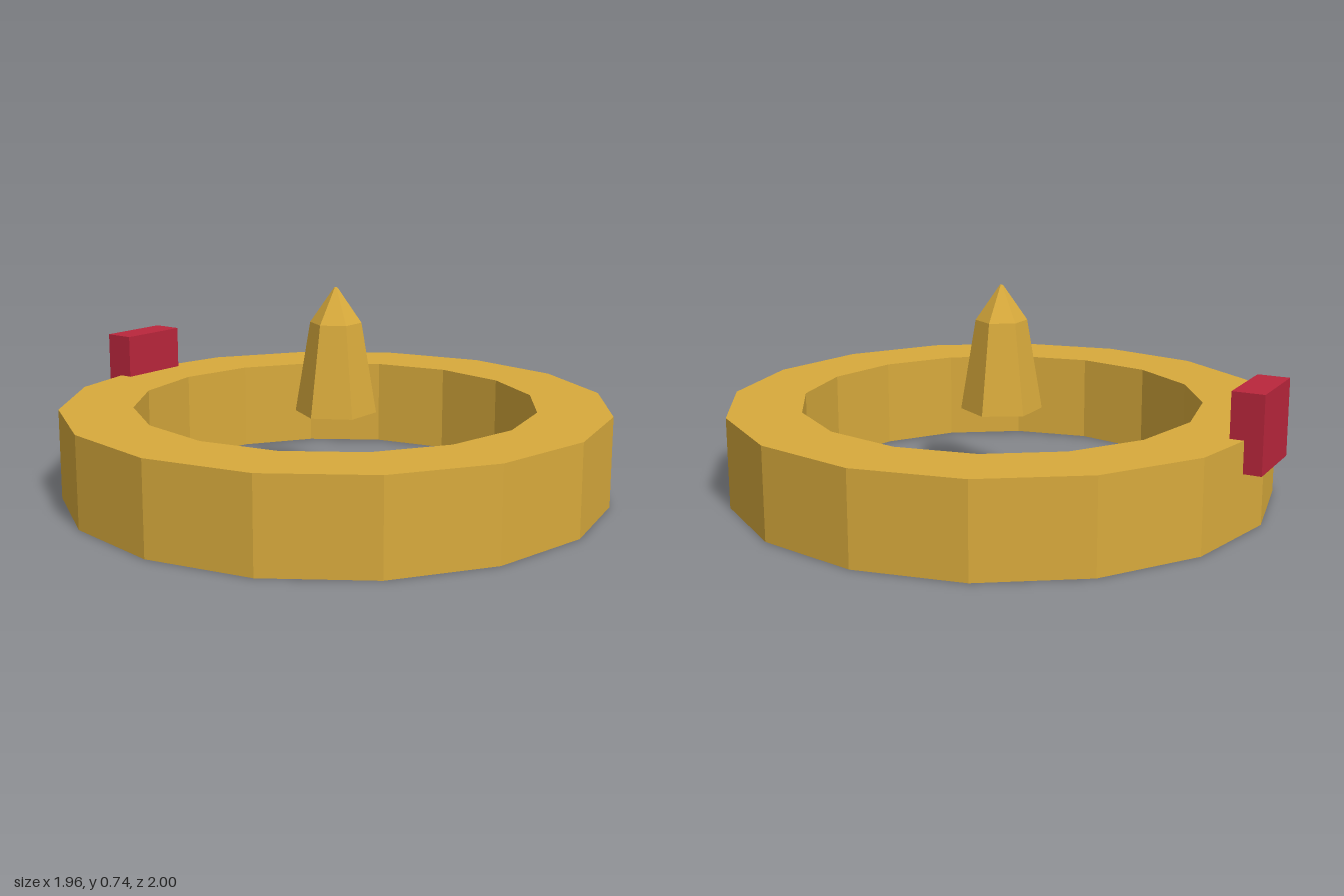
import * as THREE from 'three';

const gold = new THREE.MeshStandardMaterial({ color: 0xd8aa3c, flatShading: true });
const red = new THREE.MeshStandardMaterial({ color: 0xba263c, flatShading: true });

// Faceted turned part from [radius, height] pairs, with a corner on the x axis
function turned(name, profile, sides) {
  const points = profile.map(([r, y]) => new THREE.Vector2(r, y));
  const mesh = new THREE.Mesh(new THREE.LatheGeometry(points, sides, Math.PI / 2), gold);
  mesh.name = name;
  mesh.position.z = 0.018;
  return mesh;
}

export function createModel() {
  const model = new THREE.Group();
  model.name = 'ringWithSpike';

  // Sixteen-sided band with a square section
  const outer = 0.982, inner = 0.722, height = 0.322;
  model.add(turned('ring', [
    [outer, 0], [outer, height], [inner, height], [inner, 0], [outer, 0],
  ], 16));

  // Six-sided spike floating in the middle
  model.add(turned('spike', [
    [0, 0.285], [0.146, 0.285], [0.092, 0.61], [0.006, 0.735], [0, 0.735],
  ], 6));

  // Red block set into the back rim
  const block = new THREE.Mesh(new THREE.BoxGeometry(0.272, 0.27, 0.112), red);
  block.name = 'rearBlock';
  block.position.set(0, 0.345, -0.944);
  model.add(block);

  return model;
}
